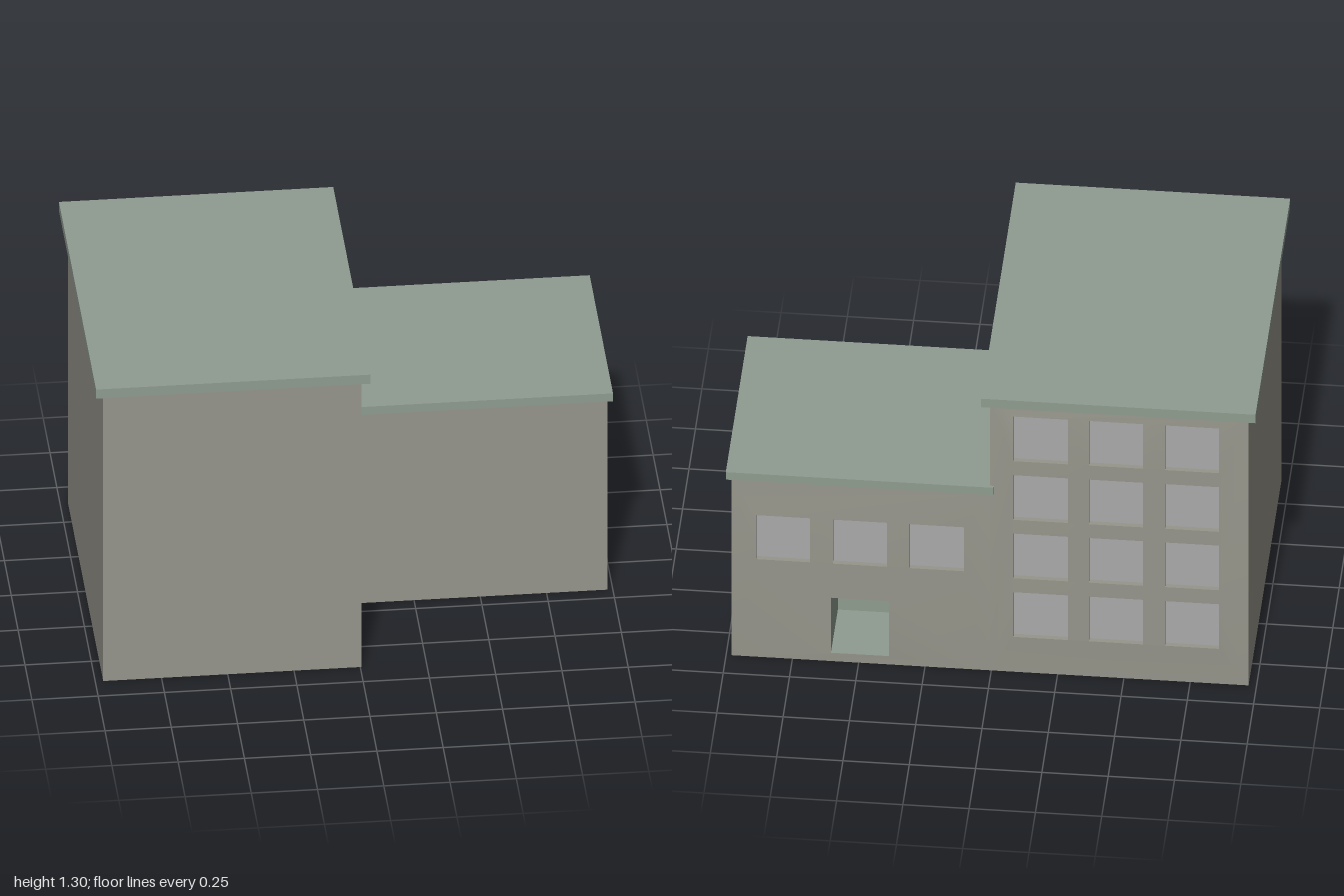
import * as THREE from 'three';

const wallMat = new THREE.MeshStandardMaterial({ color: 0x97968c });
const revealMat = new THREE.MeshStandardMaterial({ color: 0x97968c, side: THREE.DoubleSide });
const roofMat = new THREE.MeshStandardMaterial({ color: 0x8f9c90 });
const porchMat = new THREE.MeshStandardMaterial({ color: 0x8f9c90, side: THREE.DoubleSide });
const glassMat = new THREE.MeshStandardMaterial({ color: 0xa9a9ab });

const BACK = -0.637;   // outer edge of the back walls
const BULGE = 0.008;   // openings sit slightly proud of that edge
const REVEAL = 0.02;   // depth of the window recesses

function part(name, geometry, material) {
  const mesh = new THREE.Mesh(geometry, material);
  mesh.name = name;
  return mesh;
}

// Box given by its limits; faces > 0 keeps only the first faces (+x -x +y -y +z -z)
function box([x0, x1], [y0, y1], [z0, z1], faces = 6) {
  const g = new THREE.BoxGeometry(x1 - x0, y1 - y0, z1 - z0);
  g.translate((x0 + x1) / 2, (y0 + y1) / 2, (z0 + z1) / 2);
  if (faces < 6) {
    g.setIndex(Array.from(g.index.array).slice(0, faces * 6));
    g.clearGroups();
  }
  return g;
}

function rectangle(target, [x0, x1], [y0, y1]) {
  target.moveTo(-x1, y0);
  target.lineTo(-x0, y0);
  target.lineTo(-x0, y1);
  target.lineTo(-x1, y1);
  target.closePath();
  return target;
}

// Back wall with openings, pushed out a little around them
function backWall(x, y, openings) {
  const shape = rectangle(new THREE.Shape(), x, y);
  for (const o of openings) shape.holes.push(rectangle(new THREE.Path(), o.x, o.y));
  const g = new THREE.ShapeGeometry(shape);
  const p = g.attributes.position;
  for (let i = 0; i < p.count; i++) {
    const onEdge = p.getY(i) < y[0] + 0.001 || p.getY(i) > y[1] - 0.001;
    p.setZ(i, onEdge ? 0 : BULGE);
  }
  g.computeVertexNormals();
  g.rotateY(Math.PI);
  g.translate(0, 0, BACK);
  return g;
}

// Recessed pane with its four reveals
function windowUnit({ x, y }) {
  const group = new THREE.Group();
  group.name = 'window';
  const front = BACK - BULGE;
  group.add(part('windowReveal', box(x, y, [front, front + REVEAL], 4), revealMat));
  const pane = new THREE.PlaneGeometry(x[1] - x[0], y[1] - y[0]);
  pane.rotateY(Math.PI);
  pane.translate((x[0] + x[1]) / 2, (y[0] + y[1]) / 2, front + REVEAL);
  group.add(part('windowPane', pane, glassMat));
  return group;
}

// Grid of openings
function windowGrid(xs, ys, width, height) {
  return ys.flatMap((y) => xs.map((x) => ({ x: [x, x + width], y: [y, y + height] })));
}

function block(name, { x, height, front, roof, windows, door }) {
  const group = new THREE.Group();
  group.name = name;
  const y = [0, height];
  group.add(part('walls', box(x, y, [BACK, front], 5), wallMat));
  group.add(part('backWall', backWall(x, y, door ? [...windows, door] : windows), wallMat));
  group.add(part('roofSlab', box(...roof), roofMat));
  for (const w of windows) group.add(windowUnit(w));
  // Open entrance recess
  if (door) {
    group.add(part('entranceRecess', box(door.x, door.y, [BACK - BULGE, -0.375], 5), porchMat));
  }
  return group;
}

export function createModel() {
  const model = new THREE.Group();
  model.name = 'building';

  model.add(block('tallBlock', {
    x: [-0.97, 0.005],
    height: 1.265,
    front: 0.645,
    roof: [[-1, 0.035], [1.265, 1.305], [-0.675, 0.675]],
    windows: windowGrid([-0.86, -0.573, -0.289], [0.17, 0.446, 0.721, 0.997], 0.204, 0.21),
  }));

  model.add(block('lowBlock', {
    x: [0.005, 0.98],
    height: 0.835,
    front: 0.19,
    roof: [[-0.01, 1], [0.835, 0.87], [-0.65, 0.2]],
    windows: windowGrid([0.103, 0.393, 0.682], [0.465], 0.204, 0.207),
    door: { x: [0.385, 0.604], y: [0.045, 0.304] },
  }));

  return model;
}
